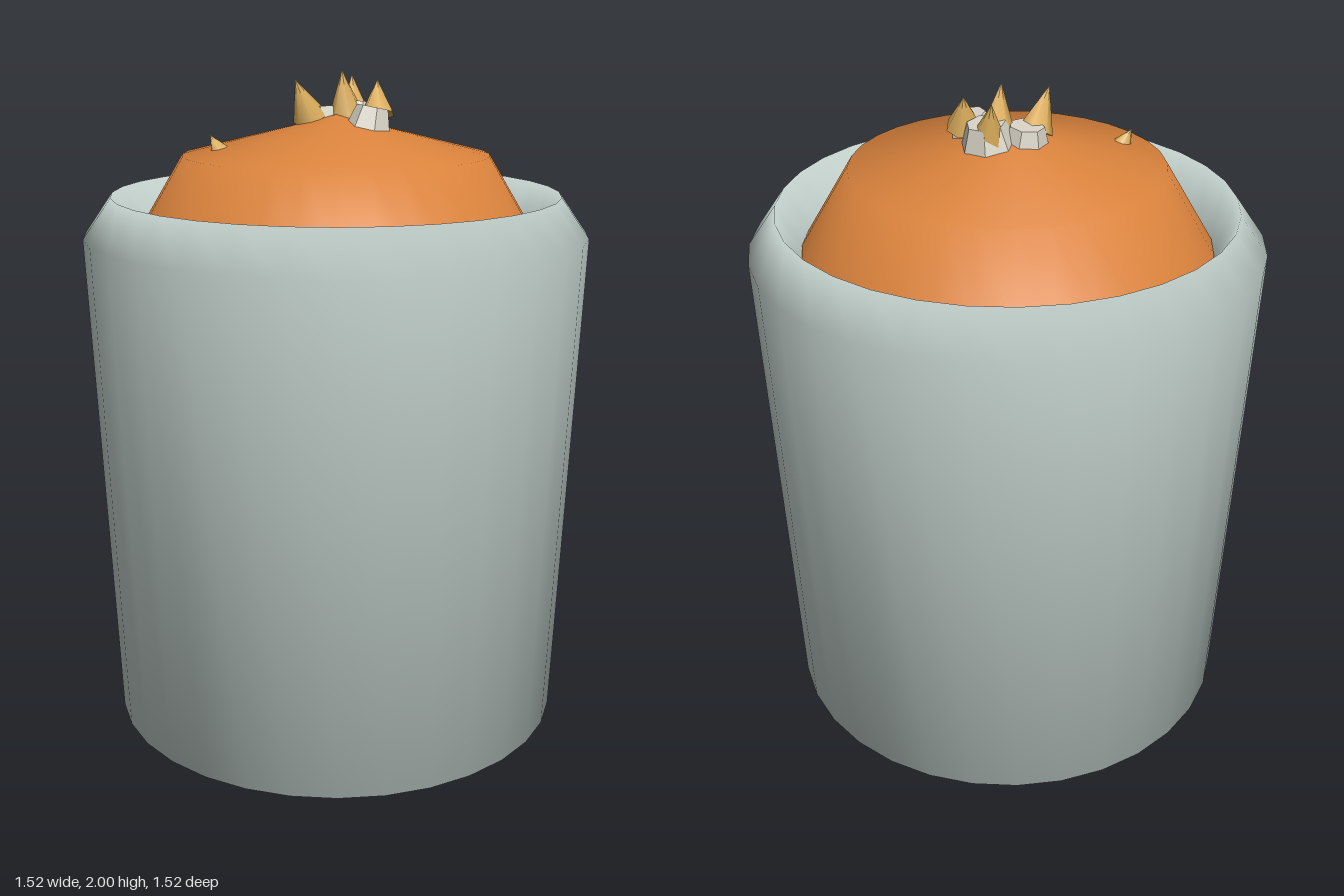
import * as THREE from 'three';

const mat = (color, flatShading = false) => new THREE.MeshStandardMaterial({ color, flatShading });

export function createModel() {
  const model = new THREE.Group();
  const add = (name, geometry, material) => {
    const mesh = new THREE.Mesh(geometry, material);
    mesh.name = name;
    model.add(mesh);
    return mesh;
  };
  // Smooth turned form from [radius, height] pairs
  const turned = (profile) =>
    new THREE.LatheGeometry(profile.map(([r, y]) => new THREE.Vector2(r, y)), 32);

  const ceramic = mat(0xc8d6d1);
  const crust = mat(0xd9823c);
  const gold = mat(0xdcae5c);
  const cream = mat(0xd9d3c6, true);

  // Tapered cup with a bevelled rim and an inner lip
  add('cup', turned([[0, 0], [0.7, 0], [0.76, 1.52], [0.675, 1.64], [0.605, 1.5]]), ceramic);

  // Domed filling resting inside the lip
  add('filling', turned([[0.607, 1.51], [0.46, 1.755], [0, 1.87]]), crust);

  // Cone with its tip and base centre placed freely
  const up = new THREE.Vector3(0, 1, 0);
  const cone = (name, base, tip, radius) => {
    const a = new THREE.Vector3(...base);
    const b = new THREE.Vector3(...tip);
    const dir = b.clone().sub(a);
    const mesh = add(name, new THREE.ConeGeometry(radius, dir.length(), 7), gold);
    mesh.position.copy(a).lerp(b, 0.5);
    mesh.quaternion.setFromUnitVectors(up, dir.normalize());
  };

  // Cluster of pointed nuts on top
  [
    [[-0.065, 1.86, 0.045], [-0.06, 1.975, 0.11]],
    [[-0.005, 1.87, -0.05], [0.005, 2.0, -0.02]],
    [[0.09, 1.87, -0.085], [0.06, 1.97, -0.115]],
    [[-0.02, 1.86, -0.1], [-0.06, 1.98, -0.13]],
  ].forEach(([base, tip], i) => cone(`nutTip${i + 1}`, base, tip, 0.052));

  // Pale faceted husks beneath the nuts
  [
    [-0.07, 1.855, 0.0, 0.072],
    [0.1, 1.86, -0.045, 0.07],
    [-0.005, 1.87, -0.09, 0.08],
  ].forEach(([x, y, z, r], i) => {
    const husk = add(`husk${i + 1}`, new THREE.CylinderGeometry(r * 0.7, r, 0.07, 7), cream);
    husk.position.set(x, y, z);
    husk.rotation.set(z * 1.5, i, -x * 1.5);
  });

  // Single crumb lower on the dome
  cone('crumb', [-0.17, 1.77, 0.31], [-0.19, 1.82, 0.33], 0.03);

  return model;
}
